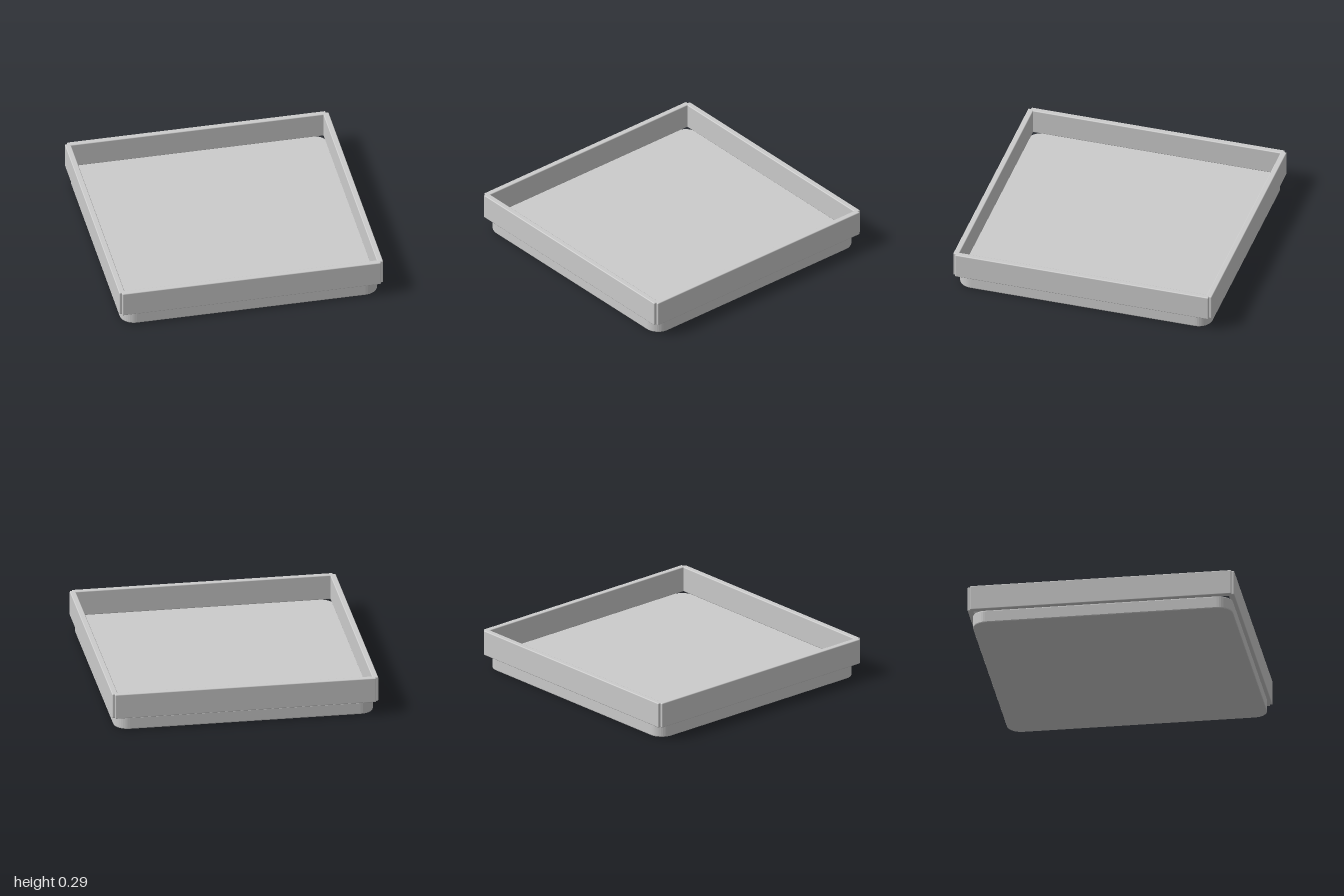
import * as THREE from 'three';
import { RoundedBoxGeometry } from 'three/addons/geometries/RoundedBoxGeometry.js';

const material = new THREE.MeshStandardMaterial({ color: 0xcccccc });

// Square outline with rounded corners, centred on the origin
function roundedSquare(half, r) {
  const s = new THREE.Shape();
  const c = half - r;
  s.absarc(c, c, r, 0, Math.PI / 2);
  s.absarc(-c, c, r, Math.PI / 2, Math.PI);
  s.absarc(-c, -c, r, Math.PI, Math.PI * 1.5);
  s.absarc(c, -c, r, Math.PI * 1.5, Math.PI * 2);
  return s;
}

export function createModel() {
  const group = new THREE.Group();

  // Base slab with rounded corners and slightly softened edges
  const half = 0.975, height = 0.098, bevel = 0.008;
  const baseGeometry = new THREE.ExtrudeGeometry(roundedSquare(half - bevel, 0.1), {
    depth: height - 2 * bevel,
    bevelEnabled: true,
    bevelThickness: bevel,
    bevelSize: bevel,
    bevelSegments: 2,
    curveSegments: 5,
  });
  baseGeometry.rotateX(-Math.PI / 2).translate(0, bevel, 0);
  const base = new THREE.Mesh(baseGeometry, material);
  base.name = 'base';
  group.add(base);

  // Four rim rails that cross at the corners, leaving a small outer notch
  const bottom = 0.1, top = 0.294, thickness = 0.044;
  const railGeometry = new RoundedBoxGeometry(1.96, top - bottom, thickness, 2, 0.007);
  railGeometry.translate(0, (top + bottom) / 2, 1 - thickness / 2);
  ['frontRail', 'leftRail', 'backRail', 'rightRail'].forEach((name, i) => {
    const rail = new THREE.Mesh(railGeometry, material);
    rail.name = name;
    rail.rotation.y = (i * Math.PI) / 2;
    group.add(rail);
  });

  return group;
}
